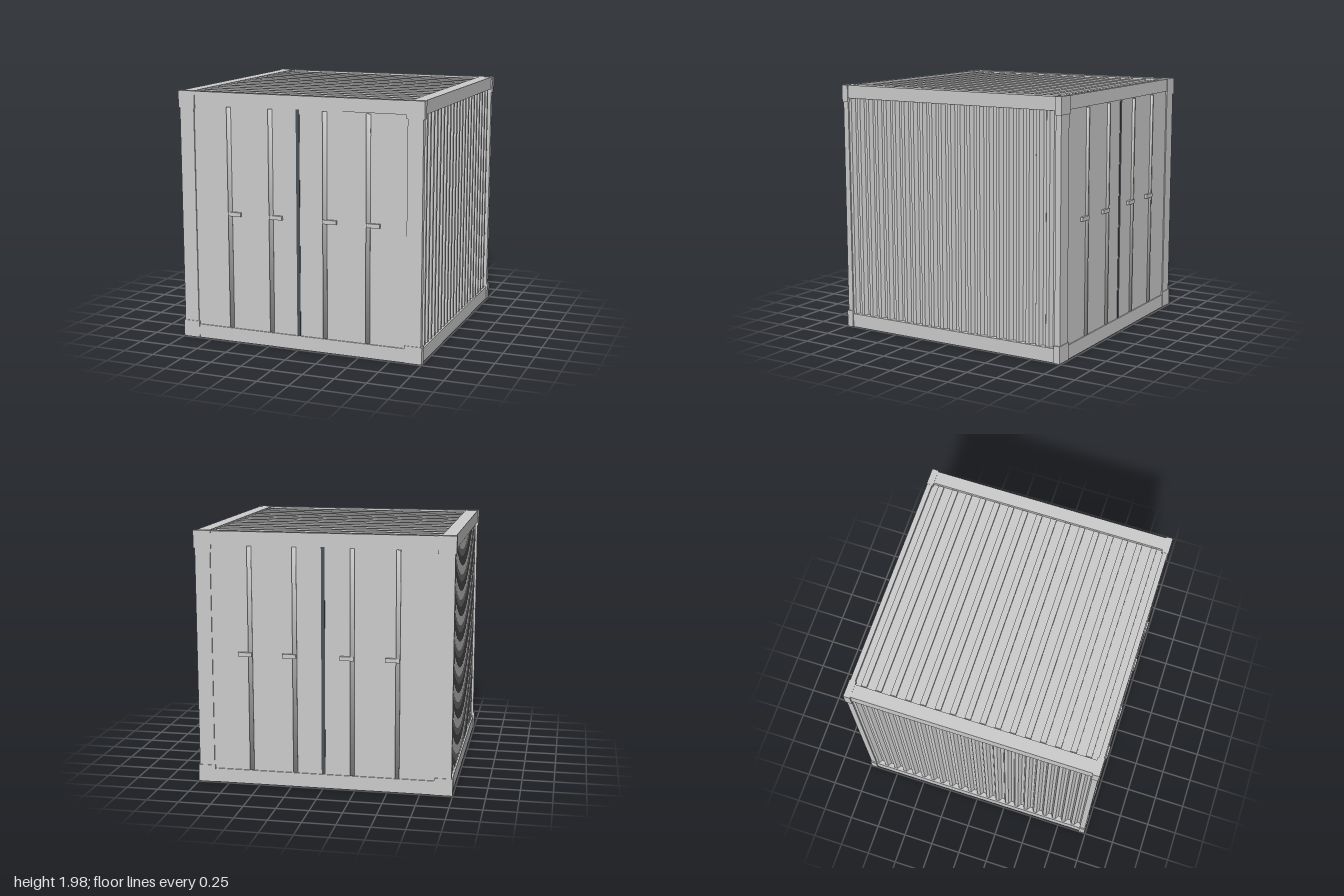
import * as THREE from 'three';

const shell = new THREE.MeshStandardMaterial({ color: 0xcccccc });
shell.name = 'light grey steel';
const rubber = new THREE.MeshStandardMaterial({ color: 0x4a5056 });
rubber.name = 'dark seal';

// Overall half width, half depth and height of the frame
const HX = 0.99, HZ = 0.985, H = 1.98;
const RAIL_LOW = 0.11, RAIL_HIGH = 1.875;

// Box given by its minimum and maximum on each axis
function box(parent, name, [x0, x1], [y0, y1], [z0, z1], material = shell) {
  const geometry = new THREE.BoxGeometry(x1 - x0, y1 - y0, z1 - z0);
  const mesh = new THREE.Mesh(geometry, material);
  mesh.position.set((x0 + x1) / 2, (y0 + y1) / 2, (z0 + z1) / 2);
  mesh.name = name;
  parent.add(mesh);
  return mesh;
}

// Range mirrored to the negative side when s is -1
const side = (s, a, b) => (s > 0 ? [a, b] : [-b, -a]);

// Softens a box so its normals point out through the corners
function softenNormals(geometry) {
  const p = geometry.attributes.position;
  const n = new THREE.Vector3();
  for (let i = 0; i < p.count; i++) {
    n.set(Math.sign(p.getX(i)), Math.sign(p.getY(i)), Math.sign(p.getZ(i))).normalize();
    geometry.attributes.normal.setXYZ(i, n.x, n.y, n.z);
  }
}

// Trapezoidal corrugated side wall, extruded upwards
function corrugatedWall(s) {
  const outer = 0.978, inner = 0.948, back = 0.93, z0 = 0.945, periods = 22;
  const pitch = (2 * z0) / periods;
  const shape = new THREE.Shape();
  shape.moveTo(back, -z0);
  for (let i = 0; i < periods; i++) {
    const z = -z0 + i * pitch;
    shape.lineTo(outer, z);
    shape.lineTo(outer, z + pitch * 0.32);
    shape.lineTo(inner, z + pitch * 0.54);
    shape.lineTo(inner, z + pitch * 0.8);
  }
  shape.lineTo(outer, z0);
  shape.lineTo(back, z0);
  const geometry = new THREE.ExtrudeGeometry(shape, {
    depth: RAIL_HIGH - RAIL_LOW, bevelEnabled: false,
  });
  geometry.rotateX(-Math.PI / 2);
  const wall = new THREE.Mesh(geometry, shell);
  wall.name = 'corrugatedWall';
  wall.position.y = RAIL_LOW;
  if (s < 0) wall.rotation.y = Math.PI;
  return wall;
}

// Double doors with locking bars and handles at one end
function doorEnd(s) {
  const end = new THREE.Group();
  end.name = s > 0 ? 'frontDoors' : 'backDoors';
  for (const d of [-1, 1]) {
    box(end, 'doorPanel', side(d, 0, 0.875), [RAIL_LOW, RAIL_HIGH], side(s, 0.94, 0.976));
  }
  box(end, 'doorSeal', [-0.014, 0.014], [RAIL_LOW, RAIL_HIGH], side(s, 0.974, 0.98), rubber);
  for (const x of [-0.573, -0.225, 0.22, 0.567]) {
    const bar = box(end, 'lockingBar', [x - 0.016, x + 0.016], [0.115, 1.868], side(s, 0.965, 0.987));
    softenNormals(bar.geometry);
    box(end, 'doorHandle', [x - 0.012, x + 0.095], [1.018, 1.05], side(s, 0.975, 0.997));
  }
  return end;
}

export function createModel() {
  const model = new THREE.Group();
  model.name = 'shippingContainer';

  // Frame: rails, posts and corner castings
  const frame = new THREE.Group();
  frame.name = 'frame';
  model.add(frame);
  for (const s of [-1, 1]) {
    for (const [name, y] of [['bottom', [0, RAIL_LOW]], ['top', [RAIL_HIGH, H - 0.002]]]) {
      box(frame, name + 'SideRail', side(s, 0.885, HX), y, [-HZ, HZ]);
      box(frame, name + 'EndRail', [-0.885, 0.885], y, side(s, 0.945, HZ));
    }
    for (const t of [-1, 1]) {
      box(frame, 'cornerPost', side(s, 0.87, HX), [RAIL_LOW, RAIL_HIGH], side(t, 0.94, HZ));
      for (const y of [[0, 0.135], [1.845, H]]) {
        box(frame, 'cornerCasting', side(s, 0.862, 1), y, side(t, 0.937, 0.99));
      }
    }
    model.add(corrugatedWall(s), doorEnd(s));
  }

  // Recessed floor and ribbed roof
  box(model, 'floor', [-0.89, 0.89], [0.03, 0.07], [-0.95, 0.95]);
  box(model, 'roofPanel', [-0.89, 0.89], [1.92, 1.953], [-0.95, 0.95]);
  const ribs = 16;
  for (let i = 0; i < ribs; i++) {
    const z = -0.873 + (i * 1.746) / (ribs - 1);
    box(model, 'roofRib', [-0.878, 0.878], [1.95, 1.97], [z - 0.023, z + 0.023]);
  }
  return model;
}
